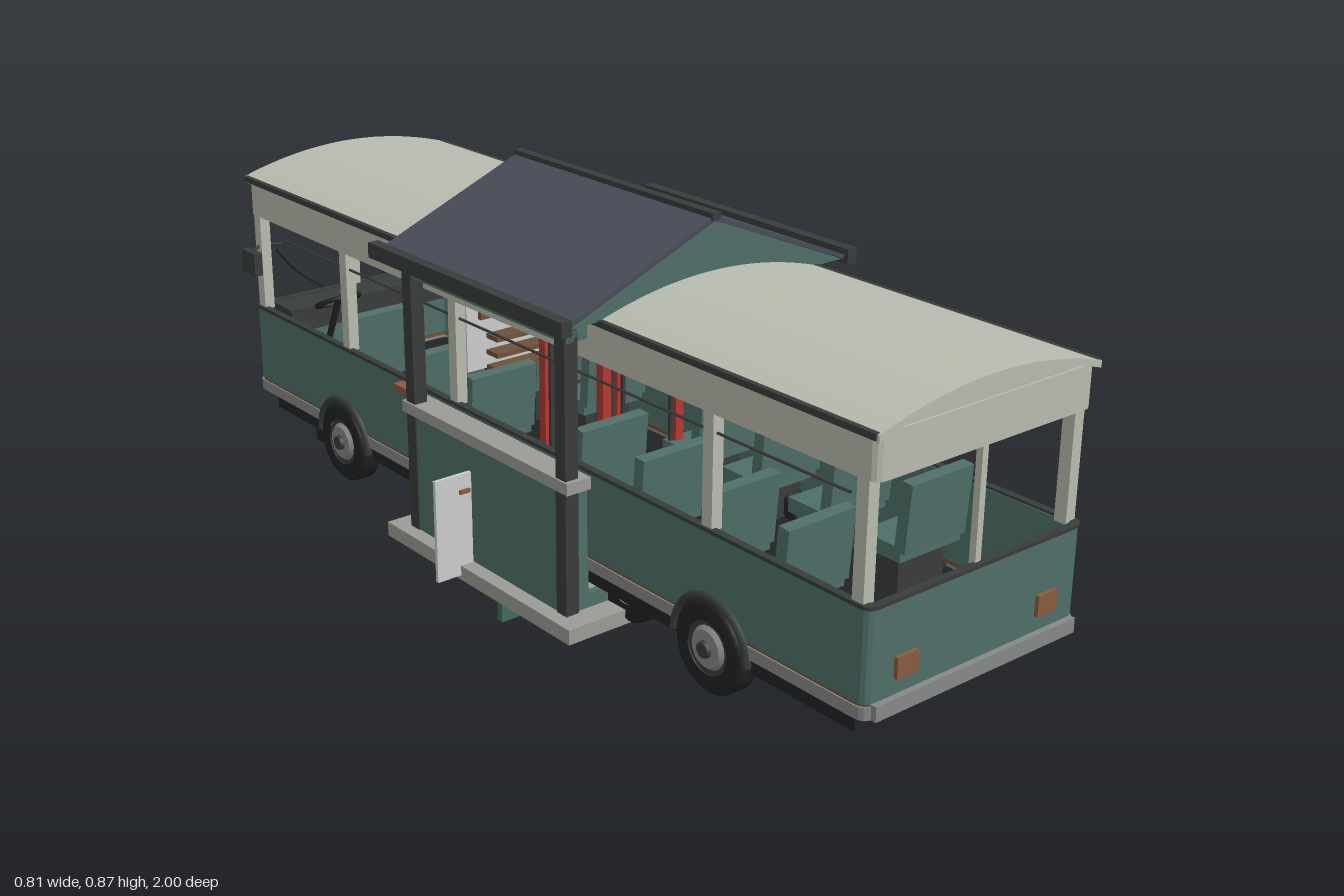
import * as THREE from 'three';

const mat = (color) => new THREE.MeshStandardMaterial({ color, side: THREE.DoubleSide });
const M = {
  green: mat(0x4f6f69), cream: mat(0xb8bbae), grey: mat(0x858886), dark: mat(0x383c3b),
  black: mat(0x202324), slate: mat(0x484c57), orange: mat(0x8a5a40), brown: mat(0x6e5238),
  red: mat(0xb23a30), board: mat(0x3d6f56), pale: mat(0xcccccc), stone: mat(0x9a9b96),
};

function add(parent, name, geo, m, x = 0, y = 0, z = 0) {
  const mesh = new THREE.Mesh(geo, m);
  mesh.name = name;
  mesh.position.set(x, y, z);
  parent.add(mesh);
  return mesh;
}

// Box given by its low and high corners
function box(parent, name, m, x0, x1, y0, y1, z0, z1) {
  return add(parent, name, new THREE.BoxGeometry(x1 - x0, y1 - y0, z1 - z0), m,
    (x0 + x1) / 2, (y0 + y1) / 2, (z0 + z1) / 2);
}

function roundRect(target, w, d, r) {
  target.moveTo(-w + r, -d);
  target.lineTo(w - r, -d).quadraticCurveTo(w, -d, w, -d + r);
  target.lineTo(w, d - r).quadraticCurveTo(w, d, w - r, d);
  target.lineTo(-w + r, d).quadraticCurveTo(-w, d, -w, d - r);
  target.lineTo(-w, -d + r).quadraticCurveTo(-w, -d, -w + r, -d);
  return target;
}

// Hollow rounded wall standing between two heights
function ring(parent, name, m, w, d, y0, y1, t = 0.015) {
  const s = roundRect(new THREE.Shape(), w, d, 0.025);
  s.holes.push(roundRect(new THREE.Path(), w - t, d - t, 0.015));
  const g = new THREE.ExtrudeGeometry(s, { depth: y1 - y0, bevelEnabled: false, curveSegments: 4 });
  g.rotateX(-Math.PI / 2);
  return add(parent, name, g, m, 0, y0, 0);
}

// Front profile extruded along z, centred on z
function profile(parent, name, m, points, depth, z = 0) {
  const s = new THREE.Shape(points.map((p) => new THREE.Vector2(p[0], p[1])));
  const g = new THREE.ExtrudeGeometry(s, { depth, bevelEnabled: false });
  return add(parent, name, g, m, 0, 0, z - depth / 2);
}

function tube(parent, name, m, points, r) {
  const curve = new THREE.CatmullRomCurve3(points.map((p) => new THREE.Vector3(...p)));
  return add(parent, name, new THREE.TubeGeometry(curve, 12, r, 6), m);
}

function wheel(parent, x, z, side) {
  const g = new THREE.Group();
  g.name = 'wheel';
  const tyre = [[0.052, -0.024], [0.08, -0.025], [0.09, -0.017], [0.09, 0.017], [0.08, 0.025], [0.052, 0.024]];
  add(g, 'tyre', new THREE.LatheGeometry(tyre.map((p) => new THREE.Vector2(...p)), 32), M.black);
  add(g, 'rim', new THREE.CylinderGeometry(0.054, 0.054, 0.04, 24), M.dark);
  add(g, 'hubPlate', new THREE.CylinderGeometry(0.036, 0.046, 0.012, 20), M.grey, 0, 0.022, 0);
  add(g, 'hubCap', new THREE.CylinderGeometry(0.015, 0.018, 0.012, 12), M.dark, 0, 0.03, 0);
  g.rotation.z = -side * Math.PI / 2;
  g.position.set(x, 0.19, z);
  parent.add(g);
}

function buildBus() {
  const bus = new THREE.Group();
  bus.name = 'bus';
  // Lower body
  box(bus, 'floor', M.black, -0.258, 0.258, 0.205, 0.222, -0.98, 0.98);
  box(bus, 'chassis', M.black, -0.25, 0.25, 0.17, 0.197, -0.93, 0.95);
  box(bus, 'chassisSpacer', M.black, -0.2, 0.2, 0.195, 0.207, -0.9, 0.92);
  box(bus, 'underTank', M.black, -0.24, -0.13, 0.135, 0.17, -0.78, -0.66);
  box(bus, 'underTank', M.black, 0.13, 0.24, 0.135, 0.17, -0.78, -0.66);
  ring(bus, 'lowerBody', M.green, 0.265, 0.985, 0.237, 0.41);
  ring(bus, 'skirt', M.grey, 0.267, 0.987, 0.208, 0.232);
  ring(bus, 'trimLine', M.brown, 0.264, 0.984, 0.23, 0.239);
  ring(bus, 'windowSill', M.dark, 0.267, 0.987, 0.408, 0.415);
  for (const z of [0.985, -0.985]) box(bus, 'bumper', M.grey, -0.25, 0.25, 0.208, 0.237, z - 0.012, z + 0.012);
  // Window pillars
  for (const s of [-1, 1]) {
    for (const z of [0.955, 0.59, 0.18, -0.18, -0.59, -0.955]) {
      box(bus, 'pillar', M.cream, s * 0.25 - 0.012, s * 0.25 + 0.012, 0.41, 0.635, z - 0.013, z + 0.013);
    }
    box(bus, 'endCentrePost', M.cream, -0.007, 0.007, 0.41, 0.64, s * 0.97 - 0.007, s * 0.97 + 0.007);
    box(bus, 'drip rail', M.dark, s * 0.266 - 0.006, s * 0.266 + 0.006, 0.705, 0.717, -0.985, 0.985);
    tube(bus, 'handrail', M.dark, [[s * 0.2, 0.605, 0.92], [s * 0.2, 0.605, -0.86]], 0.005);
    tube(bus, 'sideRail', M.dark, [[s * 0.252, 0.592, 0.92], [s * 0.252, 0.592, -0.86]], 0.003);
  }
  // Header band and arched roof
  ring(bus, 'headerBand', M.cream, 0.264, 0.985, 0.63, 0.712);
  const arch = (y, w, rise) => Array.from({ length: 25 }, (_, i) => {
    const t = i / 12 - 1;
    return [t * w, y + rise * (1 - t * t)];
  });
  profile(bus, 'roof', M.cream, [...arch(0.715, 0.268, 0.042), ...arch(0.702, 0.268, 0.042).reverse()], 1.98);
  for (const z of [0.975, -0.975]) profile(bus, 'roofEnd', M.cream, arch(0.708, 0.262, 0.04), 0.012, z);
  // Wheels and arches
  for (const s of [-1, 1]) {
    for (const z of [0.61, -0.61]) {
      wheel(bus, s * 0.25, z, s);
      const a = add(bus, 'wheelArch', new THREE.TorusGeometry(0.097, 0.008, 6, 24, Math.PI), M.dark, s * 0.267, 0.19, z);
      a.rotation.y = Math.PI / 2;
      wheel(bus, s * 0.19, z / 2, s);
    }
    // Tail lamps, headlamps, mirrors
    box(bus, 'tailLamp', M.orange, s * 0.175 - 0.025, s * 0.175 + 0.025, 0.268, 0.308, 0.98, 0.993);
    box(bus, 'headlampFrame', M.grey, s * 0.19 - 0.034, s * 0.19 + 0.034, 0.272, 0.315, -0.991, -0.98);
    box(bus, 'headlamp', M.pale, s * 0.19 - 0.027, s * 0.19 + 0.027, 0.279, 0.308, -0.995, -0.985);
    box(bus, 'mirror', M.dark, s * 0.29 - 0.01, s * 0.29 + 0.01, 0.503, 0.556, -0.965, -0.91);
    tube(bus, 'mirrorArm', M.dark, [[s * 0.2, 0.55, -0.96], [s * 0.25, 0.558, -0.96], [s * 0.29, 0.55, -0.94]], 0.004);
    tube(bus, 'wiper', M.black, [[s * 0.08, 0.415, -0.99], [s * 0.15, 0.47, -0.99], [s * 0.2, 0.53, -0.987]], 0.003);
  }
  // Front face
  box(bus, 'destinationBox', M.black, -0.15, 0.15, 0.648, 0.702, -0.997, -0.98);
  box(bus, 'numberPlate', M.pale, -0.045, 0.045, 0.19, 0.218, -1, -0.994);
  box(bus, 'grille', M.black, -0.065, 0.065, 0.262, 0.318, -0.991, -0.98);
  for (let i = -3; i <= 3; i++) box(bus, 'grilleBar', M.grey, i * 0.018 - 0.003, i * 0.018 + 0.003, 0.266, 0.314, -0.994, -0.988);
  // Seats
  for (const z of [0.74, 0.55, 0.36, 0.18, -0.18, -0.36, -0.65]) {
    for (const s of [-1, 1]) {
      if (z === -0.65 && s === 1) continue;
      const x0 = s * 0.15 - 0.08, x1 = s * 0.15 + 0.08;
      box(bus, 'seatBase', M.dark, x0 + 0.02, x1 - 0.02, 0.22, 0.3, z - 0.08, z - 0.02);
      box(bus, 'seatCushion', M.green, x0, x1, 0.3, 0.33, z - 0.1, z);
      const back = box(bus, 'seatBack', M.green, x0, x1, 0.32, 0.46, z - 0.01, z + 0.016);
      back.rotation.x = 0.08;
    }
  }
  // Driver's place
  box(bus, 'dashboard', M.dark, -0.23, 0.23, 0.36, 0.415, -0.965, -0.88);
  const steering = add(bus, 'steeringWheel', new THREE.TorusGeometry(0.05, 0.006, 6, 24), M.black, -0.13, 0.43, -0.84);
  steering.rotation.x = 1.1;
  tube(bus, 'steeringColumn', M.black, [[-0.13, 0.43, -0.84], [-0.13, 0.3, -0.9]], 0.008);
  return bus;
}

function buildBooth() {
  const booth = new THREE.Group();
  booth.name = 'booth';
  for (const x of [-0.094, 0.094]) {
    for (const z of [-0.094, 0.094]) box(booth, 'boothPost', M.red, x - 0.01, x + 0.01, 0.222, 0.63, z - 0.01, z + 0.01);
  }
  box(booth, 'boothTop', M.red, -0.105, 0.105, 0.578, 0.63, -0.105, 0.105);
  box(booth, 'boothCap', M.red, -0.11, 0.11, 0.626, 0.638, -0.11, 0.11);
  for (let i = 0; i < 4; i++) {
    const a = i * Math.PI / 2;
    const panel = add(booth, 'boothSignPanel', new THREE.BoxGeometry(0.16, 0.03, 0.006), M.black,
      0.105 * Math.sin(a), 0.605, 0.105 * Math.cos(a));
    panel.rotation.y = a;
    for (const t of [-0.078, 0.078]) {
      const c = Math.cos(a), s = Math.sin(a);
      add(booth, 'glazingBar', new THREE.BoxGeometry(0.007, 0.36, 0.007), M.dark, t * c + 0.094 * s, 0.4, 0.094 * c - t * s);
    }
  }
  // Shelves behind the booth
  box(booth, 'shelfBack', M.pale, -0.2, 0.2, 0.45, 0.612, -0.225, -0.219);
  box(booth, 'shelfSign', M.brown, -0.172, 0.172, 0.56, 0.6, -0.218, -0.208);
  for (const y of [0.452, 0.485, 0.52]) box(booth, 'shelf', M.brown, -0.152, 0.152, y - 0.005, y + 0.005, -0.22, -0.18);
  return booth;
}

function buildShelter() {
  const shelter = new THREE.Group();
  shelter.name = 'shelter';
  box(shelter, 'platform', M.stone, -0.35, 0.35, 0.095, 0.126, -0.31, 0.31);
  for (const s of [-1, 1]) {
    // Walls, sills, posts and beams
    box(shelter, 'sideWall', M.green, s * 0.31 - 0.008, s * 0.31 + 0.008, 0.125, 0.385, -0.26, 0.26);
    box(shelter, 'sideSill', M.stone, s * 0.297 - 0.028, s * 0.297 + 0.028, 0.38, 0.404, -0.275, 0.275);
    box(shelter, 'lowEndWall', M.green, -0.31, 0.31, 0.125, 0.155, s * 0.25 - 0.008, s * 0.25 + 0.008);
    for (const z of [-0.25, 0.25]) {
      box(shelter, 'endWall', M.green, s * 0.29 - 0.027, s * 0.29 + 0.027, 0.125, 0.385, z - 0.008, z + 0.008);
      box(shelter, 'cornerPost', M.dark, s * 0.306 - 0.015, s * 0.306 + 0.015, 0.126, 0.708, z - 0.015, z + 0.015);
    }
    box(shelter, 'sideBeam', M.green, s * 0.293 - 0.024, s * 0.293 + 0.024, 0.672, 0.704, -0.265, 0.265);
    box(shelter, 'gutter', M.dark, s * 0.353 - 0.012, s * 0.353 + 0.012, 0.705, 0.736, -0.315, 0.315);
    profile(shelter, 'gable', M.green, [[-0.34, 0.714], [0.34, 0.714], [0, 0.853]], 0.016, s * 0.292);
    // Open door panels with handles
    const d = s * 0.3625;
    box(shelter, 'doorPanel', M.pale, d - 0.0425, d + 0.0425, 0.105, 0.322, -0.05, -0.042);
    box(shelter, 'doorHandle', M.orange, s * 0.338 - 0.012, s * 0.338 + 0.012, 0.282, 0.29, -0.056, -0.036);
  }
  // Gable roof
  profile(shelter, 'gableRoof', M.slate,
    [[-0.355, 0.718], [0, 0.864], [0.355, 0.718], [0.355, 0.71], [0, 0.853], [-0.355, 0.71]], 0.61);
  box(shelter, 'ridgeCap', M.dark, -0.01, 0.01, 0.855, 0.87, -0.31, 0.31);
  // Downpipe and lamps
  box(shelter, 'downpipe', M.dark, 0.322, 0.337, 0.13, 0.68, 0.262, 0.277);
  box(shelter, 'downpipeShoe', M.orange, 0.313, 0.347, 0.126, 0.146, 0.255, 0.29);
  box(shelter, 'cornerBlock', M.orange, -0.298, -0.273, 0.396, 0.412, -0.35, -0.27);
  // Hanging board with its frame
  box(shelter, 'hangingBoard', M.board, -0.288, 0.288, 0, 0.097, -0.008, 0.008);
  for (const y of [0.008, 0.088]) box(shelter, 'boardFrame', M.orange, -0.28, 0.28, y - 0.004, y + 0.004, -0.013, -0.007);
  for (const x of [-0.276, 0.276]) box(shelter, 'boardFrame', M.orange, x - 0.004, x + 0.004, 0.008, 0.088, -0.013, -0.007);
  return shelter;
}

export function createModel() {
  const model = new THREE.Group();
  model.name = 'busShelter';
  model.add(buildBus(), buildBooth(), buildShelter());
  return model;
}
